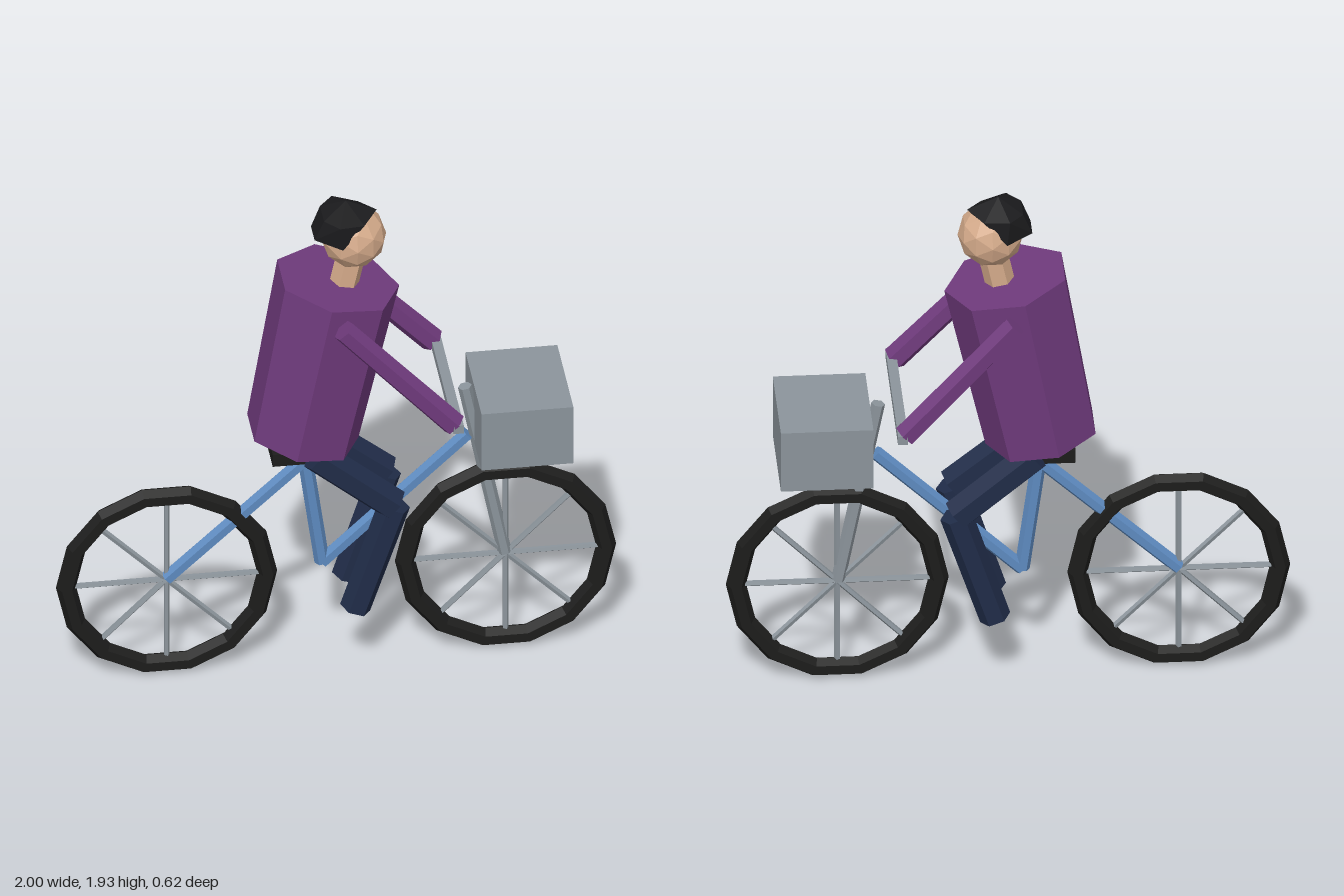
import * as THREE from 'three';
import { ConvexGeometry } from 'three/addons/geometries/ConvexGeometry.js';

const material = (name, color) => {
  const m = new THREE.MeshStandardMaterial({ color });
  m.name = name;
  return m;
};

export function createModel() {
  const model = new THREE.Group();
  model.name = 'cyclist';

  const rubber = material('black rubber', 0x1c1c1b);
  const hairBlack = material('hair black', 0x1b1b1d);
  const steel = material('steel grey', 0x8b949b);
  const blue = material('frame blue', 0x5d8abf);
  const purple = material('sweater purple', 0x6f3a7c);
  const denim = material('trouser navy', 0x202c48);
  const skin = material('skin', 0xd4aa8a);

  // Faceted mesh: every face gets its own normal
  const add = (name, geometry, mat, parent = model) => {
    const g = geometry.index ? geometry.toNonIndexed() : geometry;
    g.computeVertexNormals();
    const mesh = new THREE.Mesh(g, mat);
    mesh.name = name;
    parent.add(mesh);
    return mesh;
  };

  const box = (name, size, position, mat) => {
    const mesh = add(name, new THREE.BoxGeometry(...size), mat);
    mesh.position.set(...position);
    return mesh;
  };

  // Prism from point a to point b, with a corner turned to +x
  const rod = (name, a, b, ra, rb, sides, mat, parent = model) => {
    const start = new THREE.Vector3(...a);
    const end = new THREE.Vector3(...b);
    const axis = end.clone().sub(start);
    const g = new THREE.CylinderGeometry(rb, ra, axis.length(), sides, 1, false, Math.PI / 2);
    const mesh = add(name, g, mat, parent);
    mesh.position.copy(start).add(end).multiplyScalar(0.5);
    mesh.quaternion.setFromUnitVectors(new THREE.Vector3(0, 1, 0), axis.normalize());
    return mesh;
  };

  // Wheels: faceted tyre and four full-width spokes
  for (const [name, x] of [['rearWheel', -0.605], ['frontWheel', 0.605]]) {
    const wheel = new THREE.Group();
    wheel.name = name;
    wheel.position.set(x, 0.386, 0);
    add('tyre', new THREE.TorusGeometry(0.359, 0.036, 6, 14), rubber, wheel);
    for (let i = 0; i < 4; i++) {
      const a = (i * Math.PI) / 4;
      const dx = 0.345 * Math.cos(a), dy = 0.345 * Math.sin(a);
      rod('spoke', [-dx, -dy, 0], [dx, dy, 0], 0.011, 0.011, 5, steel, wheel);
    }
    model.add(wheel);
  }

  // Frame
  const rearHub = [-0.605, 0.39, 0], seatJoint = [-0.11, 0.85, 0];
  const crank = [-0.05, 0.41, 0], headJoint = [0.47, 0.905, 0];
  rod('rearStay', rearHub, seatJoint, 0.027, 0.027, 6, blue);
  rod('seatTube', seatJoint, crank, 0.027, 0.027, 6, blue);
  rod('downTube', crank, headJoint, 0.027, 0.027, 6, blue);
  rod('fork', [0.602, 0.39, 0], [0.46, 1.105, 0], 0.025, 0.025, 6, steel);

  // Fittings
  box('saddle', [0.24, 0.05, 0.13], [-0.115, 0.895, 0], rubber);
  box('handlebar', [0.036, 0.034, 0.62], [0.394, 1.13, 0], steel);
  box('basket', [0.328, 0.238, 0.4], [0.655, 0.994, 0], steel);

  // Rider's body and head
  rod('torso', [-0.122, 0.964, 0], [0.004, 1.6, 0], 0.206, 0.226, 7, purple);
  rod('neck', [0.025, 1.57, 0], [0.06, 1.73, 0], 0.053, 0.053, 6, skin);
  add('head', new THREE.IcosahedronGeometry(0.117, 1), skin).position.set(0.062, 1.784, 0);

  // Hair cap: crown, brow and mirrored side corners
  const corners = [[0.035, 1.933, 0], [0.145, 1.885, 0], [-0.035, 1.775, 0]]
    .map((p) => new THREE.Vector3(...p));
  for (const s of [-1, 1]) {
    for (const [x, y, z] of [[0.09, 1.872, 0.08], [0.0, 1.885, 0.108],
      [-0.05, 1.885, 0.05], [-0.083, 1.805, 0.045], [0.01, 1.795, 0.11]]) {
      corners.push(new THREE.Vector3(x, y, z * s));
    }
  }
  add('hair', new ConvexGeometry(corners), hairBlack);

  // Arms and legs, mirrored across the bicycle
  for (const s of [-1, 1]) {
    rod('arm', [-0.008, 1.548, 0.247 * s], [0.383, 1.13, 0.27 * s], 0.043, 0.046, 6, purple);
    rod('thigh', [-0.088, 0.93, 0.1 * s], [0.19, 0.702, 0.108 * s], 0.062, 0.062, 6, denim);
    rod('shin', [0.193, 0.7, 0.108 * s], [0.053, 0.273, 0.105 * s], 0.058, 0.056, 6, denim);
  }

  return model;
}
